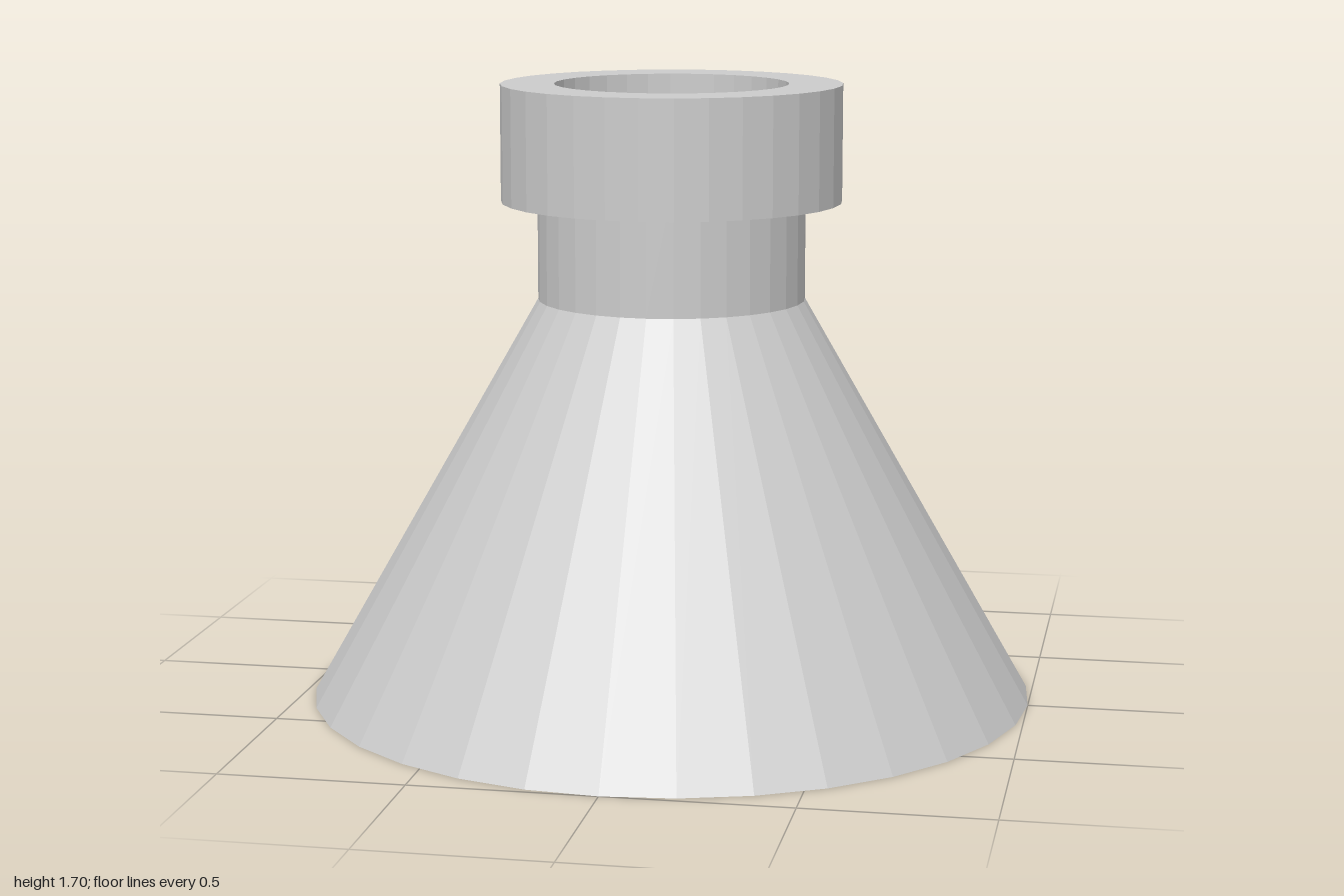
import * as THREE from 'three';

const SIDES = 32;

export function createModel() {
  const group = new THREE.Group();
  const material = new THREE.MeshStandardMaterial({ color: 0xcccccc, flatShading: true });

  const add = (name, geometry, y = 0) => {
    const mesh = new THREE.Mesh(geometry, material);
    mesh.name = name;
    mesh.position.y = y;
    group.add(mesh);
  };

  // Solid cylinder or cone standing between two heights
  const drum = (name, topRadius, bottomRadius, y0, y1) =>
    add(name, new THREE.CylinderGeometry(topRadius, bottomRadius, y1 - y0, SIDES), (y0 + y1) / 2);

  // Conical body and neck; the neck's top is the floor of the mouth
  drum('body', 0.367, 1, 0, 1.11);
  drum('neck', 0.367, 0.367, 1.11, 1.46);

  // Thick collar with an open mouth, as a closed ring section
  const profile = [
    [0.32, 1.38], [0.467, 1.38], [0.467, 1.7], [0.32, 1.7], [0.32, 1.38],
  ].map(([r, y]) => new THREE.Vector2(r, y));
  add('collar', new THREE.LatheGeometry(profile, SIDES));

  return group;
}
